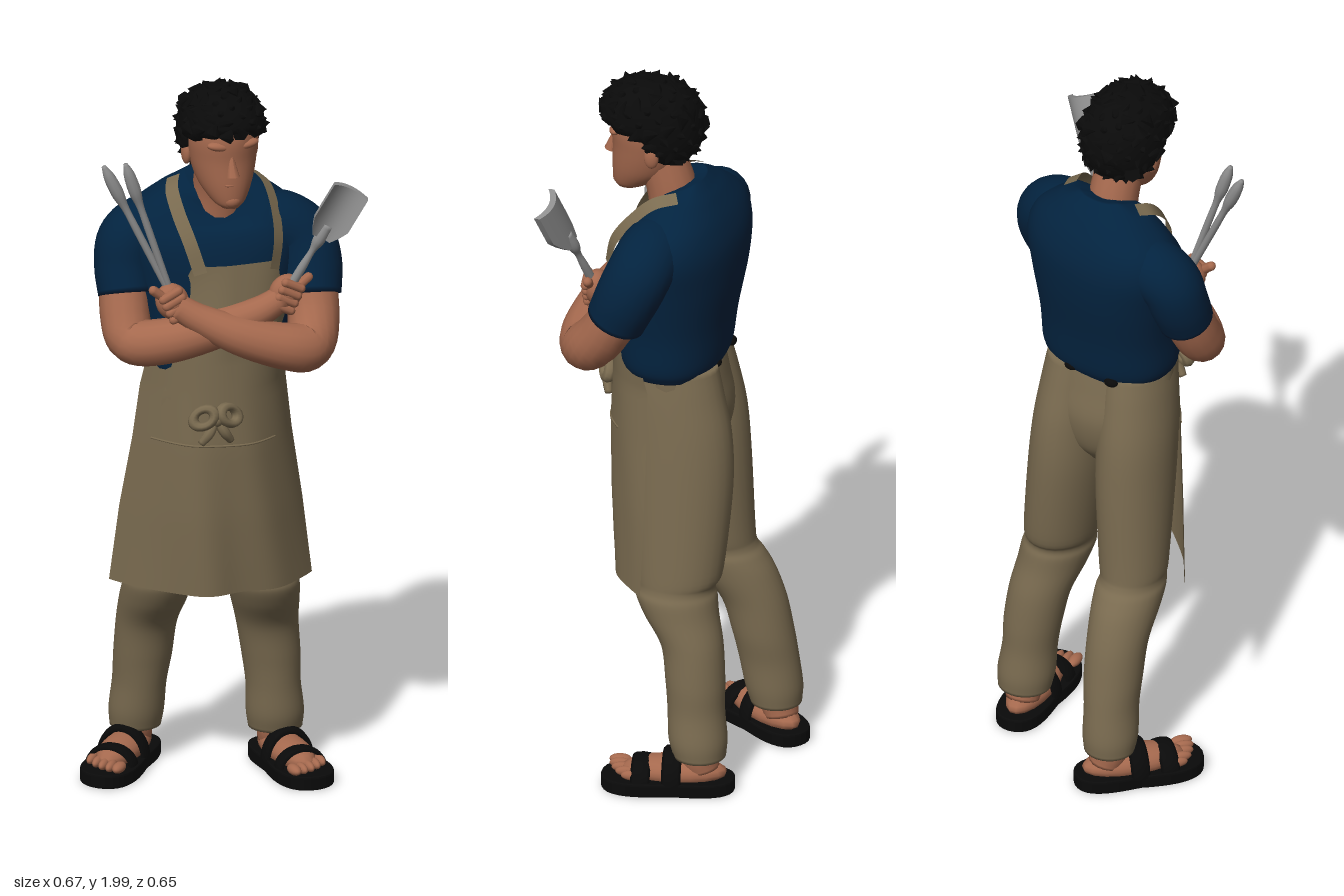
import * as THREE from 'three';

const V = (x, y, z) => new THREE.Vector3(x, y, z);
const signedPow = (v, k) => Math.sign(v) * Math.abs(v) ** k;
const mat = (name, color, side = THREE.FrontSide) => {
  const m = new THREE.MeshStandardMaterial({ color, side });
  m.name = name;
  return m;
};

export function createModel() {
  const model = new THREE.Group();
  const skin = mat('skin', 0xa5694e), khaki = mat('khaki cloth', 0x7a6b50, THREE.DoubleSide);
  const blue = mat('navy shirt', 0x03233f), black = mat('black', 0x0a0a0a), steel = mat('steel', 0x8e8e8e);

  const add = (name, geo, m, pos, parent = model) => {
    const mesh = new THREE.Mesh(geo, m);
    mesh.name = name;
    if (pos) mesh.position.set(...pos);
    parent.add(mesh);
    return mesh;
  };
  const ball = (name, m, pos, scale, parent) => {
    const b = add(name, new THREE.SphereGeometry(1, 18, 12), m, pos, parent);
    b.scale.set(...scale);
    return b;
  };

  // Skin a list of rings (each an array of points) with closed ends
  function skinRings(rings) {
    const n = rings[0].length, pts = rings.flat(), idx = [], last = rings.length - 1;
    for (let r = 0; r < last; r++) for (let i = 0; i < n; i++) {
      const a = r * n + i, b = r * n + (i + 1) % n;
      idx.push(a, b, a + n, b, b + n, a + n);
    }
    [0, last].forEach(r => {
      const c = pts.length;
      pts.push(rings[r].reduce((s, p) => s.add(p), V(0, 0, 0)).divideScalar(n));
      for (let i = 0; i < n; i++) {
        const a = r * n + i, b = r * n + (i + 1) % n;
        r ? idx.push(a, b, c) : idx.push(b, a, c);
      }
    });
    const g = new THREE.BufferGeometry().setFromPoints(pts);
    g.setIndex(idx);
    g.computeVertexNormals();
    return g;
  }
  // Level oval sections, bottom to top: [x, y, z, rx, rz, yaw]; power below 1 squares them off
  function loft(rows, n = 32, power = 1, steps = 6) {
    const c = new THREE.CatmullRomCurve3(rows.map(r => V(r[0], r[1], r[2])), false, 'catmullrom');
    const d = new THREE.CatmullRomCurve3(rows.map(r => V(r[3], r[4], r[5] || 0)), false, 'catmullrom');
    const total = (rows.length - 1) * steps, rings = [];
    for (let s = 0; s <= total; s++) {
      const p = c.getPoint(s / total), q = d.getPoint(s / total), co = Math.cos(q.z), si = Math.sin(q.z);
      rings.push(Array.from({ length: n }, (_, i) => {
        const a = i / n * Math.PI * 2;
        const x = q.x * signedPow(Math.cos(a), power), z = -q.y * signedPow(Math.sin(a), power);
        return V(p.x + x * co - z * si, p.y, p.z + x * si + z * co);
      }));
    }
    return skinRings(rings);
  }
  // Round limb along a path: [x, y, z, radius]
  function limb(rows, n = 16, steps = 6) {
    const c = new THREE.CatmullRomCurve3(rows.map(r => V(r[0], r[1], r[2])), false, 'catmullrom');
    const d = new THREE.CatmullRomCurve3(rows.map(r => V(r[3], 0, 0)), false, 'catmullrom');
    const total = (rows.length - 1) * steps, rings = [];
    for (let s = 0; s <= total; s++) {
      const p = c.getPoint(s / total), t = c.getTangent(s / total), r = d.getPoint(s / total).x;
      const u = V(0, 0, 1).cross(t).normalize(), v = t.clone().cross(u);
      rings.push(Array.from({ length: n }, (_, i) => {
        const a = i / n * Math.PI * 2;
        return p.clone().addScaledVector(u, r * Math.cos(a)).addScaledVector(v, r * Math.sin(a));
      }));
    }
    return skinRings(rings);
  }

  // Shirt, its collar dipping at the front of the neck
  const shirt = loft([
    [.01, 1.18, .02, .175, .122, .1], [.01, 1.22, .02, .193, .138, .13], [.01, 1.32, .015, .2, .145, .18],
    [.01, 1.45, .005, .222, .156, .22], [.01, 1.55, -.005, .238, .15, .22], [.01, 1.62, -.015, .215, .122, .22],
    [.01, 1.675, -.012, .15, .092, .2], [.01, 1.705, -.002, .105, .075, .15], [.01, 1.725, .005, .073, .062, .1]], 48, .88);
  const sp = shirt.attributes.position;
  for (let i = 0; i < sp.count; i++) {
    const middle = Math.max(0, 1 - ((sp.getX(i) - .01) / .13) ** 2);
    sp.setY(i, sp.getY(i) - 4.5 * middle * Math.max(0, sp.getZ(i) + .04) * Math.max(0, sp.getY(i) - 1.59));
  }
  shirt.computeVertexNormals();
  add('shirt', shirt, blue);
  add('rightSleeve', limb([[-.1, 1.575, -.04, .078], [-.165, 1.565, -.05, .084], [-.212, 1.53, -.045, .084],
    [-.228, 1.47, -.03, .08], [-.232, 1.4, 0, .075]], 24), blue);
  add('leftSleeve', limb([[.11, 1.575, .03, .08], [.175, 1.57, .05, .087], [.226, 1.535, .07, .088],
    [.243, 1.47, .1, .086], [.236, 1.39, .135, .08]], 24), blue);
  [[.06, -.098], [-.07, -.111]].forEach(([x, z]) => ball('beltPatch', black, [x, 1.197, z], [.02, .012, .014]));

  // Crossed arms
  add('rightArm', limb([[-.232, 1.45, -.02, .066], [-.245, 1.35, .025, .066], [-.24, 1.295, .07, .062],
    [-.17, 1.305, .13, .061], [-.05, 1.34, .175, .054], [.06, 1.38, .2, .042], [.13, 1.42, .21, .034]]), skin);
  add('leftArm', limb([[.24, 1.45, .11, .068], [.232, 1.35, .165, .068], [.2, 1.285, .22, .068],
    [.13, 1.292, .24, .063], [.01, 1.33, .222, .054], [-.09, 1.375, .185, .041], [-.145, 1.41, .16, .034]]), skin);

  // Hands with curled fingers; lean is the tilt of the held handle
  function hand(name, x, y, z, lean) {
    const g = new THREE.Group();
    g.name = name;
    g.position.set(x, y, z);
    g.rotation.z = lean;
    ball('palm', skin, [0, 0, 0], [.045, .052, .036], g);
    for (let i = 0; i < 4; i++)
      add('finger', new THREE.CapsuleGeometry(.0125, .046, 4, 8), skin, [0, -.036 + i * .022, .026], g).rotation.z = Math.PI / 2;
    add('thumb', new THREE.CapsuleGeometry(.013, .04, 4, 8), skin, [Math.sign(lean) * -.025, .045, .015], g).rotation.z = lean;
    model.add(g);
  }
  hand('leftHand', -.155, 1.42, .145, .45);
  hand('rightHand', .14, 1.43, .205, -.45);

  // Tongs
  [[-.336, 1.81, .115], [-.285, 1.82, .142]].forEach(([x, y, z]) => {
    const at = (t, r) => [-.15 + (x + .15) * t, 1.42 + (y - 1.42) * t, .14 + (z - .14) * t, r];
    add('tongArm', limb([at(0, .009), at(.5, .01), at(.68, .01), at(.8, .017), at(.92, .015), at(1, .006)], 10), steel);
  });

  // Spatula with a curved blade
  const spatula = new THREE.Group();
  spatula.name = 'spatula';
  spatula.position.set(.14, 1.43, .21);
  spatula.rotation.set(.13, -.3, -.46);
  add('spatulaHandle', limb([[0, -.06, 0, .012], [0, .08, 0, .012], [0, .14, 0, .009], [0, .18, 0, .017], [0, .23, .002, .014]], 12), steel, null, spatula);
  const blade = new THREE.BoxGeometry(.1, .165, .018, 10, 6, 1), bp = blade.attributes.position;
  for (let i = 0; i < bp.count; i++) {
    const t = bp.getY(i) / .165 + .5, x = bp.getX(i) * (.5 + .5 * Math.min(1, t * 3.5));
    bp.setX(i, x);
    bp.setZ(i, bp.getZ(i) + 9 * x * x);
  }
  blade.computeVertexNormals();
  add('spatulaBlade', blade, steel, [0, .272, 0], spatula);
  model.add(spatula);

  // Neck and head
  add('neck', limb([[.01, 1.6, .02, .07], [.01, 1.69, .035, .066], [.005, 1.79, .07, .064]]), skin);
  add('head', loft([[.003, 1.672, .15, .025, .03], [.003, 1.69, .137, .046, .052], [.003, 1.735, .108, .072, .085],
    [.003, 1.8, .092, .089, .1], [.003, 1.87, .088, .094, .108], [.003, 1.95, .085, .07, .09]]), skin);
  const nose = add('nose', new THREE.ConeGeometry(.018, .075, 8), skin, [-.004, 1.805, .192]);
  nose.rotation.x = -.2;
  ball('lips', skin, [-.003, 1.742, .184], [.022, .007, .009]);
  ball('chin', skin, [.002, 1.695, .173], [.025, .021, .02]);
  [-1, 1].forEach(s => {
    ball('brow', skin, [.003 + s * .036, 1.85, .176], [.036, .013, .018]).rotation.z = s * .15;
    ball('ear', skin, [.003 + s * .093, 1.805, .07], [.013, .032, .02]);
  });

  // Hair: a cap drawn inward below the hairline, with short clumped tufts
  const hairline = z => z < .03 ? 1.74 : z < .11 ? 1.74 + (z - .03) * 1.4 : 1.852 + (z - .11) * .3;
  const cap = new THREE.SphereGeometry(1, 36, 28), cp = cap.attributes.position;
  const onHead = (d, k) => {
    const [x, y, z] = d.map(v => signedPow(v, .9) * k);
    return V(x * .112, 1.868 + y * .121, .088 + z * .14 + y * .008);
  };
  for (let i = 0; i < cp.count; i++) {
    const d = [cp.getX(i), cp.getY(i), cp.getZ(i)], p = onHead(d, 1);
    const q = p.y < hairline(p.z) ? onHead(d, .55) : p;
    cp.setXYZ(i, q.x, q.y, q.z);
  }
  cap.computeVertexNormals();
  add('hairCap', cap, black);
  for (let i = 0; i < 150; i++) {
    const y = 1 - 2 * (i + .5) / 150, a = i * 2.39996, r = Math.sqrt(1 - y * y);
    const d = V(r * Math.cos(a), y, r * Math.sin(a)), p = onHead(d.toArray(), .97);
    if (p.y < hairline(p.z) + .005) continue;
    const tuft = add('hairTuft', new THREE.ConeGeometry(.024, .034, 6), black, p.toArray());
    const lean = V(Math.sin(i * 7.1), Math.sin(i * 3.7) * .5, Math.cos(i * 5.3)).multiplyScalar(.8);
    tuft.quaternion.setFromUnitVectors(V(0, 1, 0), d.add(lean).normalize());
  }

  // Trousers
  add('trouserSeat', loft([[0, .9, -.01, .05, .06], [0, .96, -.008, .13, .105], [0, 1.05, -.003, .17, .128],
    [.003, 1.14, .01, .178, .126], [.005, 1.21, .02, .176, .122]]), khaki);
  add('leftLeg', loft([[.212, .11, -.085, .072, .07], [.209, .16, -.08, .077, .078], [.202, .24, -.074, .073, .076],
    [.195, .32, -.07, .078, .079], [.18, .42, -.058, .083, .083], [.162, .5, -.025, .091, .1], [.152, .55, -.01, .095, .109],
    [.147, .58, -.008, .09, .106], [.138, .63, -.014, .096, .12], [.112, .85, -.015, .103, .138],
    [.101, 1.0, -.008, .1, .14], [.092, 1.12, .008, .095, .132], [.085, 1.2, .018, .09, .124]], 28), khaki);
  add('rightLeg', loft([[-.132, .11, -.218, .068, .068], [-.131, .16, -.212, .073, .077], [-.127, .24, -.2, .071, .08],
    [-.123, .32, -.185, .077, .083], [-.121, .42, -.16, .08, .088], [-.118, .5, -.115, .087, .105], [-.116, .55, -.085, .089, .106],
    [-.115, .58, -.07, .084, .1], [-.112, .63, -.062, .09, .102], [-.1, .85, -.035, .1, .122],
    [-.096, 1.0, -.018, .1, .128], [-.088, 1.12, .004, .094, .127], [-.078, 1.2, .018, .09, .122]], 28), khaki);

  // Apron: rows of [y, right x, left x, front z, right edge z, left edge z]
  const rows = [[.585, -.262, .262, .163, -.055, .065], [.8, -.242, .237, .178, -.03, .06], [1.0, -.216, .207, .187, .0, .06],
    [1.15, -.2, .19, .185, .015, .06], [1.25, -.185, .18, .184, .04, .09], [1.38, -.14, .155, .19, .09, .15],
    [1.51, -.095, .13, .172, .14, .17]];
  const apronAt = (u, t) => {
    const f = t * (rows.length - 1), k = Math.min(rows.length - 2, Math.floor(f));
    const [y, x0, x1, zf, z0, z1] = rows[k].map((a, i) => a + (rows[k + 1][i] - a) * (f - k));
    const s = Math.abs(u) ** (u < 0 ? 2.2 : 3), fold = .009 * Math.max(0, 1 - t * 1.5) * Math.sin(u * 8 + y * 6) * (1 - s);
    return V((x0 + x1) / 2 + u * (x1 - x0) / 2, y, zf + ((u < 0 ? z0 : z1) - zf) * s + fold);
  };
  const grid = new THREE.PlaneGeometry(1, 1, 32, 36), gp = grid.attributes.position;
  for (let i = 0; i < gp.count; i++) {
    const p = apronAt(gp.getX(i) * 2, gp.getY(i) + .5);
    gp.setXYZ(i, p.x, p.y, p.z);
  }
  grid.computeVertexNormals();
  add('apron', grid, khaki);
  const pocket = Array.from({ length: 12 }, (_, i) => apronAt(-.85 + i * .135, .345));
  add('pocketHem', new THREE.TubeGeometry(new THREE.CatmullRomCurve3(pocket), 30, .003, 6), khaki);

  // Neck straps as flat ribbons, ending on top of the shoulders
  [[V(-.08, 1.49, .157), V(-.1, 1.57, .13), V(-.115, 1.64, .078), V(-.115, 1.69, .025), V(-.095, 1.708, -.02)],
    [V(.118, 1.49, .182), V(.135, 1.57, .163), V(.142, 1.64, .112), V(.138, 1.69, .055), V(.122, 1.705, -.005)]].forEach(pts => {
    const strap = new THREE.CatmullRomCurve3(pts);
    const ribbon = new THREE.PlaneGeometry(1, 1, 30, 1), rp = ribbon.attributes.position;
    for (let i = 0; i < rp.count; i++) {
      const t = rp.getX(i) + .5, p = strap.getPoint(t);
      const w = strap.getTangent(t).cross(p.clone().sub(V(.01, 1.5, 0))).normalize();
      p.addScaledVector(w, rp.getY(i) * .038);
      rp.setXYZ(i, p.x, p.y, p.z);
    }
    ribbon.computeVertexNormals();
    add('neckStrap', ribbon, khaki);
  });

  // Bow
  ball('bowKnot', khaki, [-.055, 1.1, .208], [.02, .022, .024]);
  [-1, 1].forEach(s => {
    const loop = add('bowLoop', new THREE.TorusGeometry(.026, .013, 8, 18), khaki, [-.055 + s * .035, 1.108, .212]);
    loop.scale.set(1.15, .85, 1.3);
    loop.rotation.set(-.3, s * .4, s * -.4);
    add('bowTail', limb([[-.055, 1.1, .208, .011], [-.055 + s * .02, 1.065, .215, .014], [-.055 + s * .042, 1.035, .208, .01]], 8), khaki);
  });

  // Feet in sandals
  const sole = new THREE.Shape();
  sole.moveTo(0, -.172);
  sole.bezierCurveTo(.075, -.172, .062, -.06, .064, -.01);
  sole.bezierCurveTo(.075, .06, .092, .172, .005, .175);
  sole.bezierCurveTo(-.088, .172, -.075, .06, -.062, -.01);
  sole.bezierCurveTo(-.062, -.06, -.075, -.172, 0, -.172);
  function foot(name, x, z, yaw, side) {
    const g = new THREE.Group();
    g.name = name;
    g.position.set(x, 0, z);
    g.rotation.y = yaw;
    const base = new THREE.ExtrudeGeometry(sole, { depth: .026, bevelThickness: .006, bevelSize: .004, bevelSegments: 2, curveSegments: 12 });
    add('sole', base.rotateX(Math.PI / 2).translate(0, .042, 0), black, null, g);
    ball('footTop', skin, [0, .062, -.015], [.055, .04, .14], g);
    add('ankle', limb([[0, .07, -.09, .046], [0, .11, -.08, .05], [0, .18, -.075, .045]]), skin, null, g);
    for (let i = 0; i < 5; i++)
      ball('toe', skin, [side * (-.046 + i * .023), .06, .132 - i * i * .0025], [i ? .012 : .016, .014, .03], g);
    [[-.012, .078], [.07, .052]].forEach(([sz, h]) => {
      const band = add('sandalStrap', new THREE.TorusGeometry(1, .13, 8, 20, Math.PI), black, [0, .04, sz], g);
      band.scale.set(.063, h, .2);
    });
    model.add(g);
  }
  foot('leftFoot', .222, -.004, .1, 1);
  foot('rightFoot', -.188, -.165, -.72, -1);

  return model;
}
